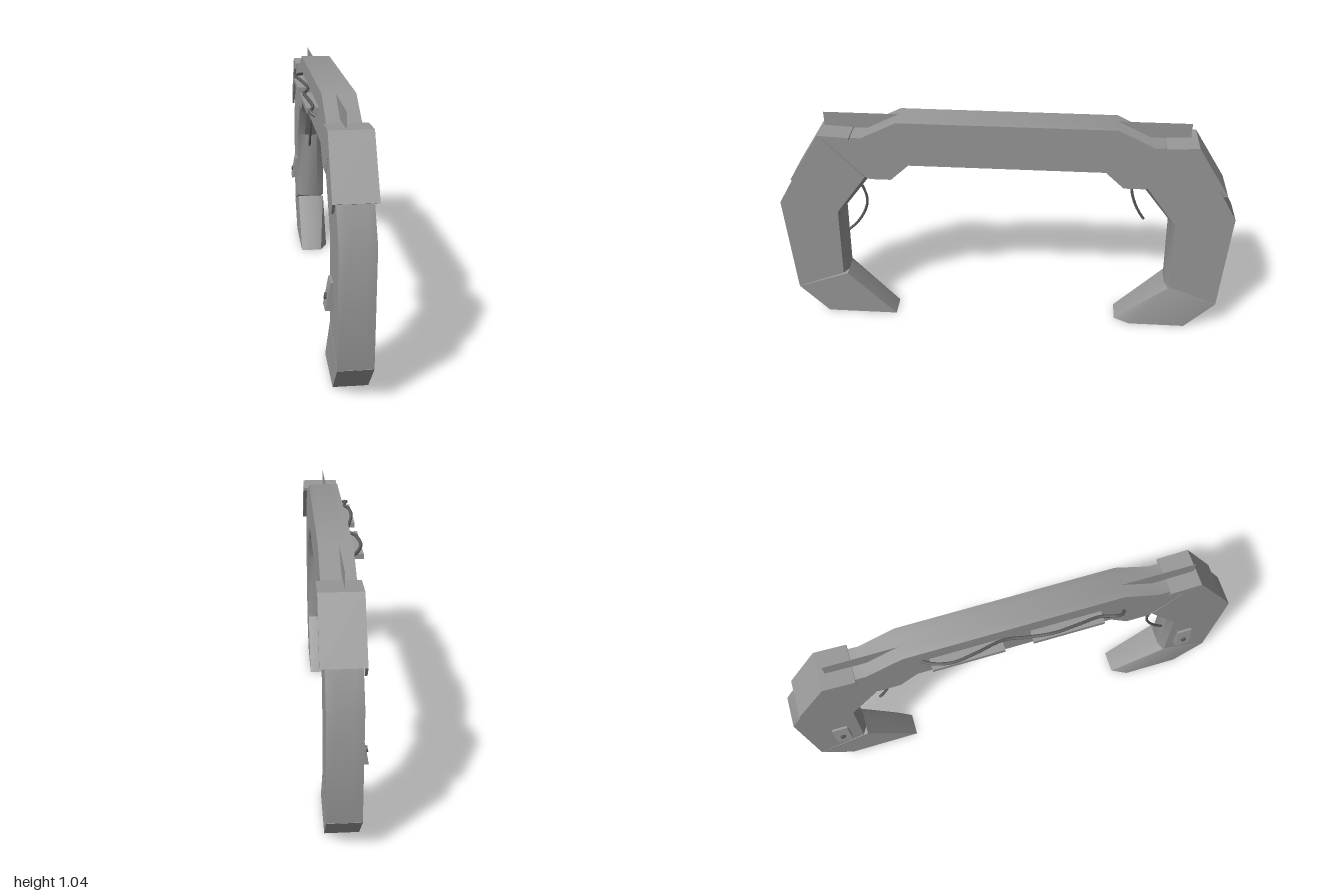
import * as THREE from 'three';
import { toCreasedNormals } from 'three/addons/utils/BufferGeometryUtils.js';

const metal = new THREE.MeshStandardMaterial({ color: 0x989797 });
const rubber = new THREE.MeshStandardMaterial({ color: 0x5c5c5c });
const sheet = new THREE.MeshStandardMaterial({ color: 0x989797, side: THREE.DoubleSide });

function add(parent, name, geometry, material = metal) {
  const mesh = new THREE.Mesh(geometry, material);
  mesh.name = name;
  parent.add(mesh);
  return mesh;
}

// Solid between rings of a side profile. Profile points are [z, y, chamferZ, chamferY],
// counter-clockwise in (z, y); each ring is [x, chamfer amount].
function prism(profile, rings) {
  const pos = [];
  const n = profile.length;
  const loops = rings.map(([x, f]) => profile.map(([z, y, cz = 0, cy = 0]) => [x, y + cy * f, z + cz * f]));
  const tri = (a, b, c) => pos.push(...a, ...b, ...c);
  for (let k = 0; k < loops.length - 1; k++) {
    for (let i = 0; i < n; i++) {
      const j = (i + 1) % n;
      const a = loops[k][i], b = loops[k][j], c = loops[k + 1][j], d = loops[k + 1][i];
      tri(a, c, b);
      tri(a, d, c);
    }
  }
  const cap = (loop, flipped) => {
    const flat = loop.map(p => new THREE.Vector2(p[2], p[1]));
    for (const [a, b, c] of THREE.ShapeUtils.triangulateShape(flat, [])) {
      if (flipped) tri(loop[a], loop[c], loop[b]);
      else tri(loop[a], loop[b], loop[c]);
    }
  };
  cap(loops[0], false);
  cap(loops[loops.length - 1], true);
  const g = new THREE.BufferGeometry();
  g.setAttribute('position', new THREE.Float32BufferAttribute(pos, 3));
  // Shallow bends are shaded softly, corners stay sharp
  return toCreasedNormals(g, THREE.MathUtils.degToRad(34.5));
}

// Flip a profile to the other end of the arch, keeping its winding
const flip = profile => profile.map(([z, y, cz = 0, cy = 0]) => [-z, y, -cz, cy]).reverse();

function cable(points, radius) {
  const curve = new THREE.CatmullRomCurve3(points.map(p => new THREE.Vector3(...p)));
  return new THREE.TubeGeometry(curve, 40, radius, 8, false);
}

export function createModel() {
  const model = new THREE.Group();
  model.name = 'arch';

  const X0 = -0.05, X1 = 0.085;
  const bothChamfers = [[X0, 1], [X0 + 0.035, 0], [X1 - 0.035, 0], [X1, 1]];
  const oneChamfer = [[X0, 1], [X0 + 0.035, 0], [X1, 0]];
  const topShift = -0.008; // the beam and its covers sit slightly to the rear

  // Crossbeam with dropped haunches at both ends
  const under = [[0.42, 0.82, 0, 0.015], [0.5, 0.745, 0, 0.015], [0.59, 0.745, 0, 0.015], [0.6, 0.757, 0.01, 0.012]];
  const over = [[0.794, 0.968], [0.615, 0.96], [0.46, 1.038]];
  const beam = [...under, ...over, ...flip(over), ...flip(under)];
  add(model, 'crossbeam', prism(beam, bothChamfers)).position.z = topShift;

  // Legs and feet, turned half around for the far end
  const leg = [
    [0.737, 0.234, 0.02, 0], [0.98, 0.142], [1.0, 0.62], [0.79, 0.97],
    [0.592, 0.755, 0.015, 0.012], [0.725, 0.58, 0.02, 0],
  ];
  const foot = [[0.523, 0, 0.07, 0], [0.85, 0], [0.979, 0.14], [0.738, 0.231, 0.015, -0.005]];
  for (const end of ['front', 'rear']) {
    const g = new THREE.Group();
    g.name = end + 'Leg';
    if (end === 'rear') {
      g.rotation.y = Math.PI;
      g.position.x = X0 + X1;
    }
    add(g, end + 'Post', prism(leg, bothChamfers));
    add(g, end + 'Foot', prism(foot, oneChamfer));
    model.add(g);
  }

  // Thin fin standing along the middle of the beam
  const fin = add(model, 'topFin', new THREE.PlaneGeometry(1.55, 0.07), sheet);
  fin.rotation.y = Math.PI / 2;
  fin.position.set(0.005, 1.0025, 0);

  // Corner covers: bent cap plate and a flange on the right side
  const cover = [
    [0.66, 0.957], [0.782, 0.962], [0.922, 0.745], [0.938, 0.752], [0.794, 0.976], [0.66, 0.969],
  ];
  const flange = [
    [0.66, 0.94], [0.765, 0.932], [0.91, 0.71], [0.938, 0.752], [0.794, 0.976], [0.66, 0.969],
  ];
  // Wedge boxes with a dial on the legs
  const wedge = new THREE.Shape();
  wedge.moveTo(-0.045, 0.32);
  wedge.lineTo(-0.045, 0.43);
  wedge.lineTo(-0.06, 0.43);
  wedge.lineTo(-0.08, 0.32);
  for (const s of [1, -1]) {
    const end = s > 0 ? 'front' : 'rear';
    const facing = profile => s > 0 ? profile : flip(profile);
    const corner = new THREE.Group();
    corner.name = end + 'Corner';
    corner.position.z = topShift;
    add(corner, end + 'CornerCover', prism(facing(cover), [[-0.063, 0], [0.103, 0]]));
    add(corner, end + 'CoverFlange', prism(facing(flange), [[-0.064, 0], [-0.054, 0]]));
    model.add(corner);

    const box = new THREE.Group();
    box.name = end + 'ControlBox';
    add(box, end + 'BoxBody', new THREE.ExtrudeGeometry(wedge, { depth: 0.07, bevelEnabled: false }));
    const dial = add(box, end + 'Dial', new THREE.CylinderGeometry(0.012, 0.012, 0.012, 16), rubber);
    dial.rotation.z = Math.PI / 2 - 0.18;
    dial.position.set(-0.073, 0.365, 0.035);
    box.position.z = s * 0.83 - 0.042;
    model.add(box);
  }

  // Side shelves carrying a loose cable
  for (const z of [-0.215, 0.205]) {
    const shelf = add(model, 'sideShelf', new THREE.BoxGeometry(0.055, 0.02, 0.3));
    shelf.position.set(-0.073, 0.953, z);
  }
  add(model, 'sideCable', cable([
    [-0.048, 0.965, -0.4], [-0.075, 0.97, -0.36], [-0.096, 0.975, -0.28], [-0.085, 0.98, -0.18],
    [-0.058, 0.965, -0.06], [-0.075, 0.965, 0.04], [-0.092, 0.978, 0.14], [-0.085, 0.978, 0.25],
    [-0.073, 0.965, 0.34], [-0.09, 0.96, 0.43], [-0.07, 0.95, 0.45],
  ], 0.007), rubber);

  // Cables hanging inside the arch
  add(model, 'frontHangingCable', cable([
    [0, 0.7, 0.66], [0, 0.67, 0.643], [0, 0.6, 0.628], [0, 0.54, 0.642], [0, 0.47, 0.685], [0, 0.42, 0.735],
  ], 0.006), rubber);
  add(model, 'rearHangingCable', cable([
    [0, 0.77, -0.55], [0, 0.7, -0.552], [0, 0.63, -0.572], [0, 0.58, -0.597], [0, 0.55, -0.617],
  ], 0.006), rubber);

  return model;
}
